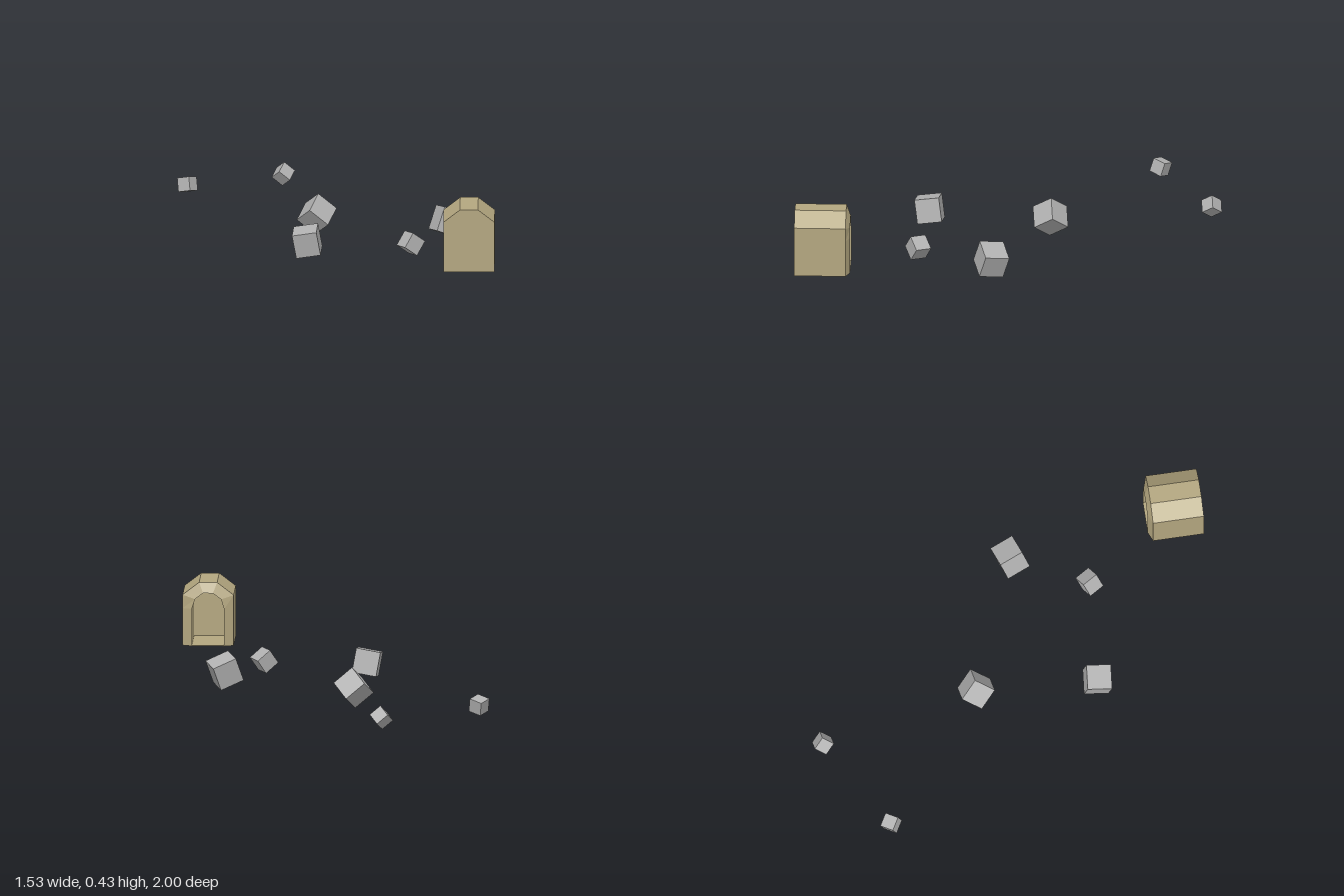
import * as THREE from 'three';

const stone = new THREE.MeshStandardMaterial({ color: 0xb0b0b0 });
stone.name = 'grey stone';
const clay = new THREE.MeshStandardMaterial({ color: 0xb3a67f });
clay.name = 'tan clay';

// Cube turned so that its local x and y follow the two given directions
function tumbledCube(name, size, centre, xDir, yDir) {
  const x = new THREE.Vector3(...xDir).normalize();
  const y = new THREE.Vector3(...yDir);
  y.addScaledVector(x, -x.dot(y)).normalize();
  const z = new THREE.Vector3().crossVectors(x, y);
  const mesh = new THREE.Mesh(new THREE.BoxGeometry(size, size, size), stone);
  mesh.quaternion.setFromRotationMatrix(new THREE.Matrix4().makeBasis(x, y, z));
  mesh.position.set(...centre);
  mesh.name = name;
  return mesh;
}

// Flat-shaded skin between successive rings of points
function loft(rings) {
  const pos = [];
  for (let r = 0; r < rings.length - 1; r++) {
    for (let i = 0; i < rings[r].length - 1; i++) {
      const a = rings[r][i], b = rings[r][i + 1];
      const c = rings[r + 1][i + 1], d = rings[r + 1][i];
      for (const p of [a, d, c, a, c, b]) pos.push(...p);
    }
  }
  const g = new THREE.BufferGeometry();
  g.setAttribute('position', new THREE.Float32BufferAttribute(pos, 3));
  g.computeVertexNormals();
  return g;
}

function createShelter() {
  const group = new THREE.Group();
  group.name = 'shelter';
  const half = 0.122, r = 0.077, spring = 0.18;
  const front = 0.13, rim = -0.115, mouth = -0.135, inner = 0.12;

  // Outer profile with clipped roof corners, and the arched hollow
  const outer = [[half, 0], [half, spring], [half, 0.245], [0.043, 0.306],
    [-0.043, 0.306], [-half, 0.245], [-half, spring], [-half, 0]];
  const arch = [[r, 0]];
  for (let i = 0; i <= 5; i++) {
    const a = (i / 5) * Math.PI;
    arch.push([r * Math.cos(a), spring + r * 1.05 * Math.sin(a)]);
  }
  arch.push([-r, 0]);
  const at = (profile, z) => profile.map(([x, y]) => [x, y, z]);
  const shape = (pts) => new THREE.Shape(pts.map((p) => new THREE.Vector2(...p)));

  const add = (name, geometry) => {
    const mesh = new THREE.Mesh(geometry, clay);
    mesh.name = name;
    group.add(mesh);
    return mesh;
  };

  // Walls, sloped mouth rim and arched lining in one skin
  add('shelterWalls', loft([at(outer, front), at(outer, rim), at(arch, mouth), at(arch, inner)]));
  add('frontWall', new THREE.ShapeGeometry(shape(outer))).position.z = front;
  const innerWall = add('innerEndWall', new THREE.ShapeGeometry(shape(arch)));
  innerWall.rotation.y = Math.PI;
  innerWall.position.z = inner;

  // Thin floor following the outline of the rim
  const floor = new THREE.ExtrudeGeometry(shape([[-half, -front], [half, -front], [half, -rim],
    [r, -mouth], [-r, -mouth], [-half, -rim]]), { depth: 0.003, bevelEnabled: false });
  floor.rotateX(-Math.PI / 2);
  add('floor', floor);

  group.position.set(0.641, 0.125, 0.87);
  return group;
}

export function createModel() {
  const model = new THREE.Group();
  model.name = 'shelterAndCubes';
  model.add(createShelter());

  // Loose cubes: name, size, centre, x direction, y direction
  const cubes = [
    ['farLeftCube', 0.067, [-0.713, 0.12, -0.692], [0.053, 0.015, 0.032], [-0.006, 0.064, -0.02]],
    ['farBackCube', 0.067, [-0.257, 0.105, -0.953], [0.09, -0.0755, -0.01], [0.064, 0.066, 0.074]],
    ['middleCube', 0.115, [-0.093, 0.104, -0.19], [0.09, -0.0755, -0.01], [0.064, 0.066, 0.074]],
    ['rightCube', 0.12, [0.534, 0.134, 0.067], [0.11, -0.046, -0.034], [0.038, 0.112, -0.033]],
    ['nearLeftCube', 0.118, [-0.135, 0.12, 0.389], [0.98, 0.165, 0.09], [-0.16, 0.97, 0.13]],
    ['nearRightCube', 0.08, [0.36, 0.119, 0.424], [0.06, -0.05, -0.032], [0.042, 0.062, -0.03]],
  ];
  for (const c of cubes) model.add(tumbledCube(...c));
  return model;
}
